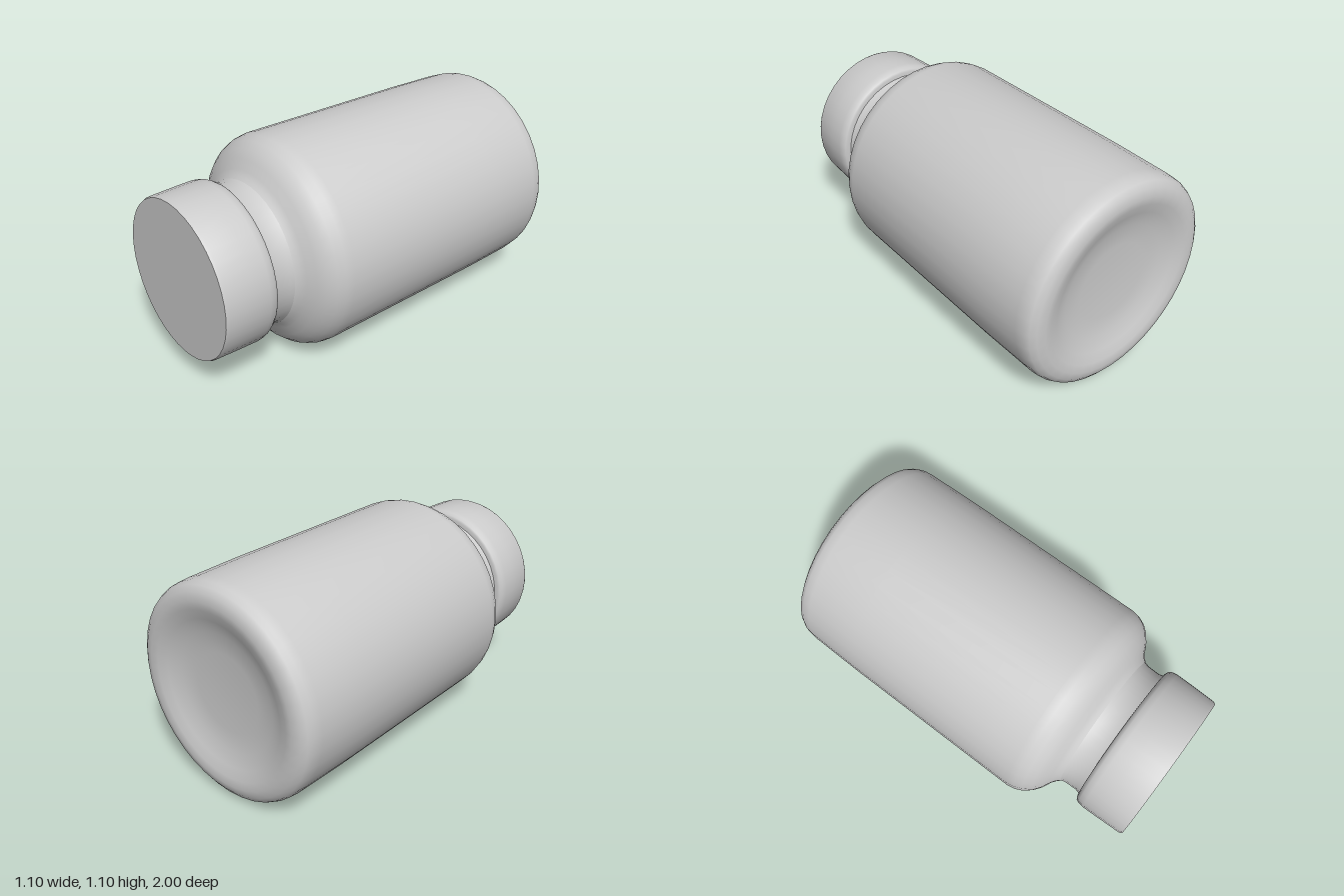
import * as THREE from 'three';
import { toCreasedNormals } from 'three/addons/utils/BufferGeometryUtils.js';

const material = new THREE.MeshStandardMaterial({ color: 0xcccccc });

// Turned part lying along z; profile is [radius, z] from back to front
function turned(name, profile, axisY) {
  const points = profile.map(([r, z]) => new THREE.Vector2(r, z));
  const geometry = toCreasedNormals(new THREE.LatheGeometry(points, 40), 0.8);
  geometry.rotateX(Math.PI / 2);
  const mesh = new THREE.Mesh(geometry, material);
  mesh.name = name;
  mesh.position.y = axisY;
  return mesh;
}

export function createModel() {
  const group = new THREE.Group();
  group.name = 'bottle';

  // Body with a shallow recessed base, rounded heel and shoulder
  group.add(turned('body', [
    [0, -0.94], [0.2, -0.94], [0.3, -0.95], [0.37, -0.975],
    [0.42, -0.993], [0.46, -1], [0.5, -0.99], [0.527, -0.972], [0.54, -0.945],
    [0.545, -0.9], [0.55, -0.6], [0.55, 0.4], [0.543, 0.44], [0.525, 0.48],
    [0.495, 0.515], [0.455, 0.545], [0.41, 0.567], [0.385, 0.585], [0.368, 0.605],
  ], 0.553));

  // Neck between shoulder and cap
  group.add(turned('neck', [
    [0.37, 0.6], [0.362, 0.625], [0.36, 0.69], [0.366, 0.71], [0.37, 0.74],
  ], 0.555));

  // Screw cap with a rounded lower lip and flat face
  group.add(turned('cap', [
    [0.34, 0.72], [0.385, 0.718], [0.397, 0.724], [0.406, 0.74],
    [0.41, 0.77], [0.408, 0.85], [0.403, 0.985], [0.397, 1], [0, 1],
  ], 0.558));

  return group;
}
